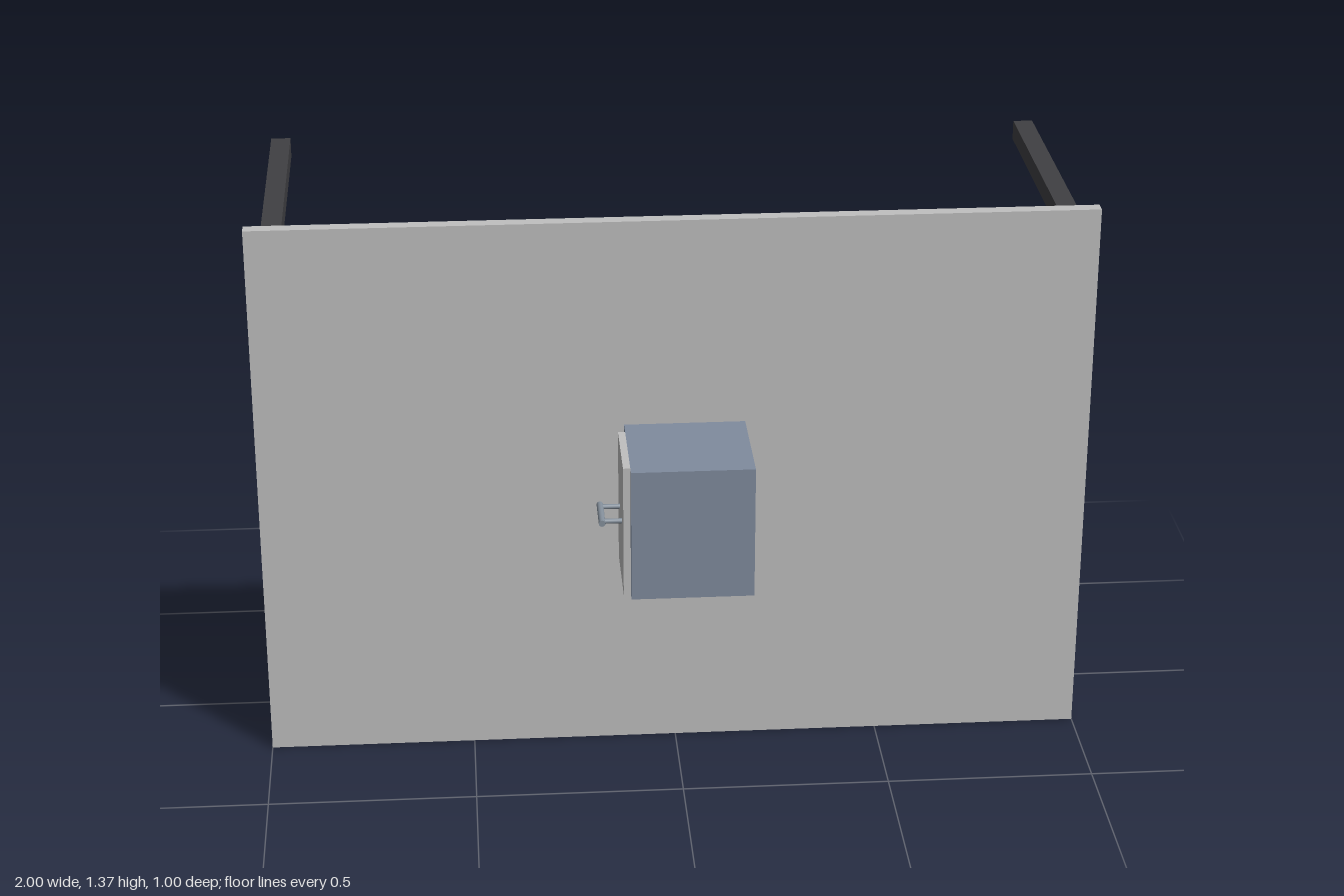
import * as THREE from 'three';

const material = (name, color) => {
  const m = new THREE.MeshStandardMaterial({ color });
  m.name = name;
  return m;
};

// Box given by its lower and upper corners
function box(name, mat, [x0, y0, z0], [x1, y1, z1]) {
  const mesh = new THREE.Mesh(new THREE.BoxGeometry(x1 - x0, y1 - y0, z1 - z0), mat);
  mesh.position.set((x0 + x1) / 2, (y0 + y1) / 2, (z0 + z1) / 2);
  mesh.name = name;
  return mesh;
}

export function createModel() {
  const topGrey = material('light grey', 0xbfbfbf);
  const legDark = material('charcoal', 0x404043);
  const slate = material('slate blue', 0x808c9e);
  const metal = material('handle metal', 0x85909c);

  const model = new THREE.Group();
  model.name = 'tippedDesk';

  // Upright table top
  model.add(box('tableTop', topGrey, [-1, 0, 0.198], [1, 1.368, 0.23]));

  // Four square legs pointing back
  for (const x of [-0.94, 0.94])
    for (const y of [0.061, 1.311])
      model.add(box('leg', legDark, [x - 0.024, y - 0.024, -0.5], [x + 0.024, y + 0.024, 0.198]));

  // Cabinet passing through the top, with its drawer front on the right side
  model.add(box('cabinet', slate, [-0.123, 0.522, 0.083], [0.167, 0.851, 0.5]));
  model.add(box('drawerFront', topGrey, [-0.14, 0.522, 0.271], [-0.123, 0.851, 0.475]));

  // Bar handle on two posts
  const handle = new THREE.Group();
  handle.name = 'handle';
  handle.position.set(-0.187, 0.686, 0.373);
  const bar = new THREE.Mesh(new THREE.CylinderGeometry(0.008, 0.008, 0.104, 20), metal);
  bar.rotation.x = Math.PI / 2;
  bar.name = 'handleBar';
  handle.add(bar);
  for (const z of [-0.039, 0.039]) {
    const post = new THREE.Mesh(new THREE.CylinderGeometry(0.006, 0.006, 0.048, 16), metal);
    post.rotation.z = Math.PI / 2;
    post.position.set(0.024, 0, z);
    post.name = 'handlePost';
    handle.add(post);
  }
  model.add(handle);
  return model;
}
